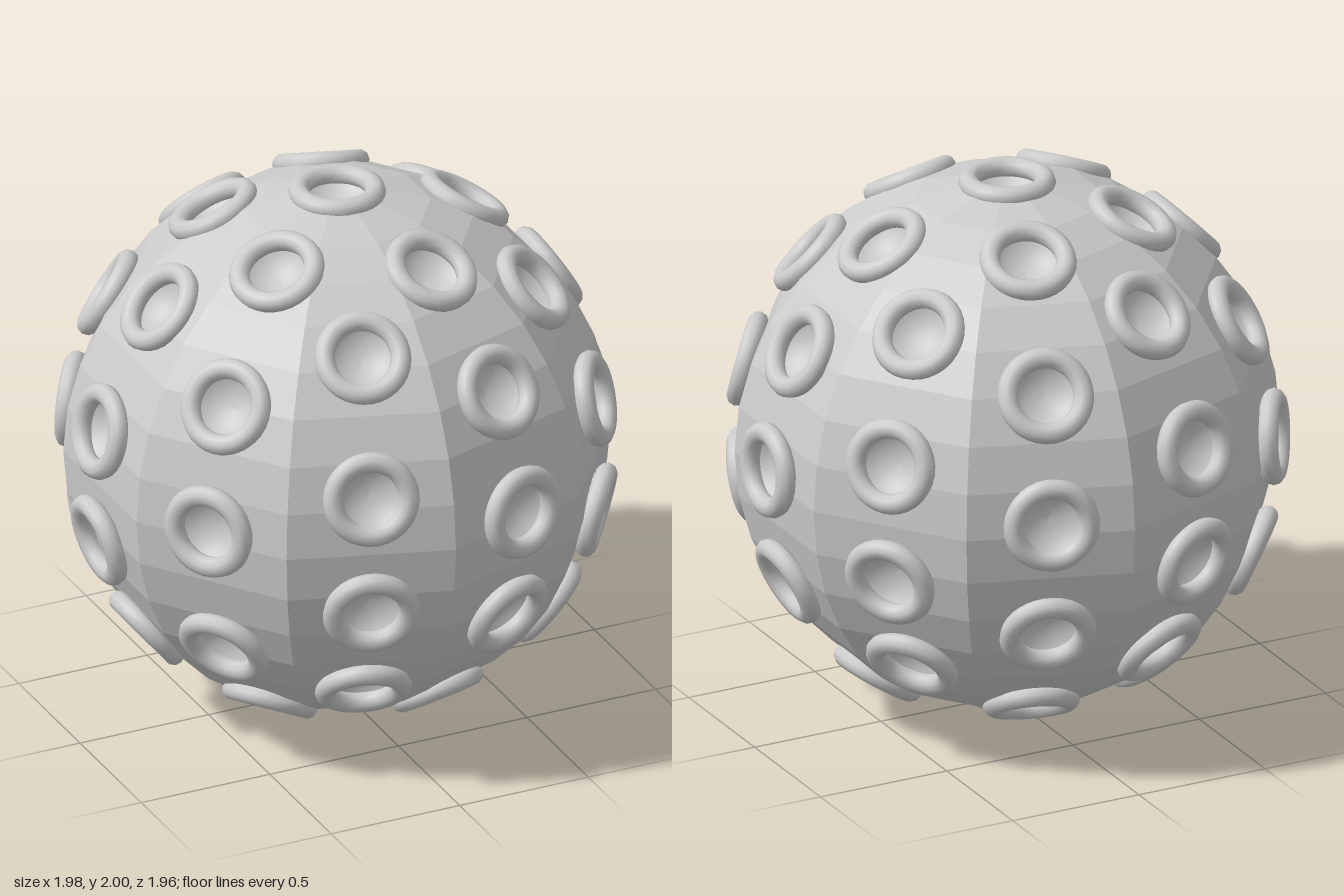
import * as THREE from 'three';

const R = 0.97, SIDES = 10, BANDS = 18;
const RING = 0.135, TUBE = 0.037;
const material = new THREE.MeshStandardMaterial({ color: 0xcccccc });
const flat = new THREE.MeshStandardMaterial({ color: 0xcccccc, flatShading: true });
const double = new THREE.MeshStandardMaterial({ color: 0xcccccc, side: THREE.DoubleSide });

// Rows of five rings from top to bottom: start azimuth (degrees) and heights above the centre
const rows = [
  [0, [0.82, 0.83, 0.85, 0.85, 0.85]],
  [36, [0.65, 0.66, 0.66, 0.66, 0.65]],
  [0, [0.48, 0.48, 0.485, 0.485, 0.49]],
  [36, [0.23, 0.22, 0.22, 0.22, 0.23]],
  [0, [0.05, 0.05, 0.05, 0.05, 0.05]],
  [36, [-0.21, -0.23, -0.21, -0.21, -0.21]],
  [0, [-0.39, -0.38, -0.46, -0.39, -0.4]],
  [36, [-0.59, -0.64, -0.6, -0.59, -0.59]],
  [0, [-0.81, -0.81, -0.82, -0.81, -0.81]],
];

function ringCentres() {
  const list = [new THREE.Vector3(0, 0.963, 0), new THREE.Vector3(0, -0.963, 0)];
  for (const [start, heights] of rows) {
    heights.forEach((y, i) => {
      const a = THREE.MathUtils.degToRad(start + 72 * i);
      const d = 0.948 + 0.015 * y * y;
      const r = Math.sqrt(d * d - y * y);
      list.push(new THREE.Vector3(r * Math.cos(a), y, r * Math.sin(a)));
    });
  }
  return list;
}

// Corner of the faceted ball
function corner(side, band) {
  const a = Math.PI * 2 * (side + 0.5) / SIDES, t = Math.PI * band / BANDS;
  return new THREE.Vector3(Math.sin(t) * Math.cos(a), Math.cos(t), Math.sin(t) * Math.sin(a)).multiplyScalar(R);
}

// Flat facets divided into small cells, left open inside every ring
function shellGeometry(centres) {
  const NU = 24, NV = 8, positions = [];
  const dirs = centres.map((c) => c.clone().normalize());
  const mid = new THREE.Vector3(), cross = new THREE.Vector3();
  const addTriangle = (a, b, c) => {
    mid.copy(a).add(b).add(c).divideScalar(3);
    const open = dirs.some((d) => d.dot(mid) > 0 && cross.crossVectors(d, mid).length() < 0.132);
    if (!open) for (const p of [a, b, c]) positions.push(p.x, p.y, p.z);
  };
  for (let s = 0; s < SIDES; s++) {
    for (let b = 0; b < BANDS; b++) {
      const p = corner(s, b), q = corner(s + 1, b), u = corner(s, b + 1), v = corner(s + 1, b + 1);
      const at = (i, j) => p.clone().lerp(q, i / NU).lerp(u.clone().lerp(v, i / NU), j / NV);
      for (let i = 0; i < NU; i++) {
        for (let j = 0; j < NV; j++) {
          const p00 = at(i, j), p10 = at(i + 1, j), p01 = at(i, j + 1), p11 = at(i + 1, j + 1);
          if (b > 0 || j > 0) addTriangle(p00, p10, p11);
          if (b < BANDS - 1 || j < NV - 1) addTriangle(p00, p11, p01);
        }
      }
    }
  }
  const geometry = new THREE.BufferGeometry();
  geometry.setAttribute('position', new THREE.Float32BufferAttribute(positions, 3));
  geometry.computeVertexNormals();
  return geometry;
}

// Shallow round dish, rim to centre
function dishGeometry() {
  const points = [], radius = 0.16, rim = 0.125, steps = 5;
  const top = -0.015 + Math.sqrt(radius * radius - rim * rim);
  const angle = Math.asin(rim / radius);
  for (let i = 0; i <= steps; i++) {
    const t = angle * (1 - i / steps);
    points.push(new THREE.Vector2(radius * Math.sin(t), top - radius * Math.cos(t)));
  }
  return new THREE.LatheGeometry(points, 24);
}

export function createModel() {
  const model = new THREE.Group();
  model.name = 'studdedBall';
  const centres = ringCentres();

  const shell = new THREE.Mesh(shellGeometry(centres), flat);
  shell.name = 'facetedShell';
  model.add(shell);

  // Raised ring with a sunken dish, pointing outwards
  const torus = new THREE.TorusGeometry(RING, TUBE, 10, 32).rotateX(Math.PI / 2);
  const dish = dishGeometry();
  const up = new THREE.Vector3(0, 1, 0);
  for (const c of centres) {
    const port = new THREE.Group();
    port.name = 'port';
    const ring = new THREE.Mesh(torus, material);
    ring.name = 'ring';
    const bowl = new THREE.Mesh(dish, double);
    bowl.name = 'dish';
    port.add(ring, bowl);
    port.position.copy(c);
    port.quaternion.setFromUnitVectors(up, c.clone().normalize());
    model.add(port);
  }

  // Stand the ball on the ground
  for (const part of model.children) part.position.y += 1;
  return model;
}
